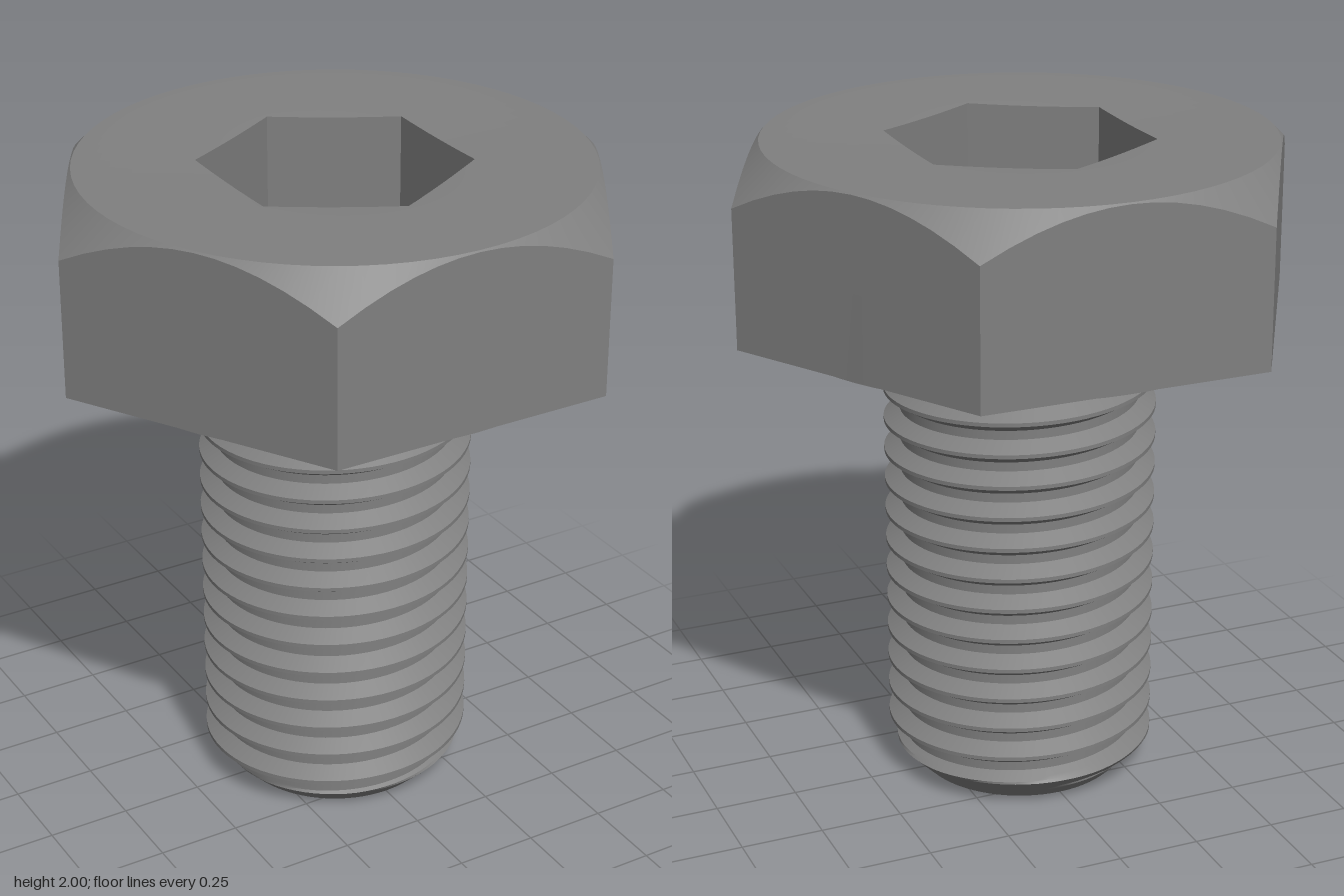
import * as THREE from 'three';
import { toCreasedNormals } from 'three/addons/utils/BufferGeometryUtils.js';

const SEG = 72;
const material = new THREE.MeshStandardMaterial({ color: 0x808080 });

// Skins rows of points around the y axis; profile(row, angle) gives [radius, y].
// Angle 0 is +z and grows towards +x.
function skin(name, rows, profile) {
  const point = (j, i) => {
    const a = (i / SEG) * Math.PI * 2;
    const [r, y] = profile(j, a);
    return new THREE.Vector3(r * Math.sin(a), y, r * Math.cos(a));
  };
  const pos = [];
  const ab = new THREE.Vector3(), ac = new THREE.Vector3();
  const tri = (a, b, c) => {
    ab.subVectors(b, a);
    ac.subVectors(c, a);
    if (ab.cross(ac).length() < 1e-9) return; // skip collapsed faces
    for (const p of [a, b, c]) pos.push(p.x, p.y, p.z);
  };
  for (let j = 0; j < rows - 1; j++) {
    for (let i = 0; i < SEG; i++) {
      const a = point(j, i), b = point(j, i + 1), c = point(j + 1, i + 1), d = point(j + 1, i);
      tri(a, b, c);
      tri(a, c, d);
    }
  }
  const geo = new THREE.BufferGeometry();
  geo.setAttribute('position', new THREE.Float32BufferAttribute(pos, 3));
  const mesh = new THREE.Mesh(toCreasedNormals(geo, 0.4), material);
  mesh.name = name;
  return mesh;
}

// Radius of a hexagon at an angle; flat is the direction of one flat's normal
function hexRadius(a, apothem, flat) {
  const s = Math.PI / 3;
  const t = (((a - flat + s / 2) % s) + s) % s - s / 2;
  return apothem / Math.cos(t);
}

// Hex head with washer face, conical top chamfer and hex socket
function makeHead() {
  const apothem = 0.758, rim = 0.754, top = 2, under = 1.46;
  const outer = a => hexRadius(a, apothem, 0);
  const socket = a => hexRadius(a, 0.346, Math.PI / 6);
  const rings = [
    () => [0.38, under - 0.004],
    () => [0.755, under - 0.004],
    () => [0.755, under],
    a => [outer(a), under],
    a => [outer(a), top - (outer(a) - rim)],
    () => [rim, top],
    () => [0.42, top],
    a => [socket(a), top - (0.42 - socket(a)) * 0.06],
    a => [socket(a), 1.58],
    () => [0, 1.58],
  ];
  return skin('hexHead', rings.length, (j, a) => rings[j](a));
}

// Right-handed threaded shank with chamfered tip and plain collar
function makeShank() {
  const pitch = 0.098, major = 0.41, root = 0.362, end = 1.47;
  const crestY = 0.135; // crest height at angle 0
  // One pitch, measured from the crest centre: [offset, radius]
  const knots = [[0.006, major], [0.035, root], [0.063, root], [0.092, major], [0.104, major]];
  const steps = 4;
  const turn = [];
  for (let k = 0; k < 4; k++) {
    const [o0, r0] = knots[k], [o1, r1] = knots[k + 1];
    const n = k === 3 ? 1 : steps;
    for (let s = 0; s < n; s++) turn.push([o0 + (o1 - o0) * s / n, r0 + (r1 - r0) * s / n]);
  }
  const rows = turn.length * 17;
  return skin('threadedShank', rows + 1, (j, a) => {
    if (j === 0) return [0, 0]; // centre of the flat tip
    const [offset, threadR] = turn[(j - 1) % turn.length];
    const lap = Math.floor((j - 1) / turn.length) - 3;
    const raw = crestY + pitch * (lap + a / (Math.PI * 2)) + offset;
    const y = THREE.MathUtils.clamp(raw, 0, end);
    const collar = Math.min(major, root + y - 1.34);
    return [Math.min(Math.max(threadR, collar), 0.315 + y), y];
  });
}

export function createModel() {
  const group = new THREE.Group();
  group.name = 'hexBolt';
  group.add(makeHead(), makeShank());
  return group;
}
